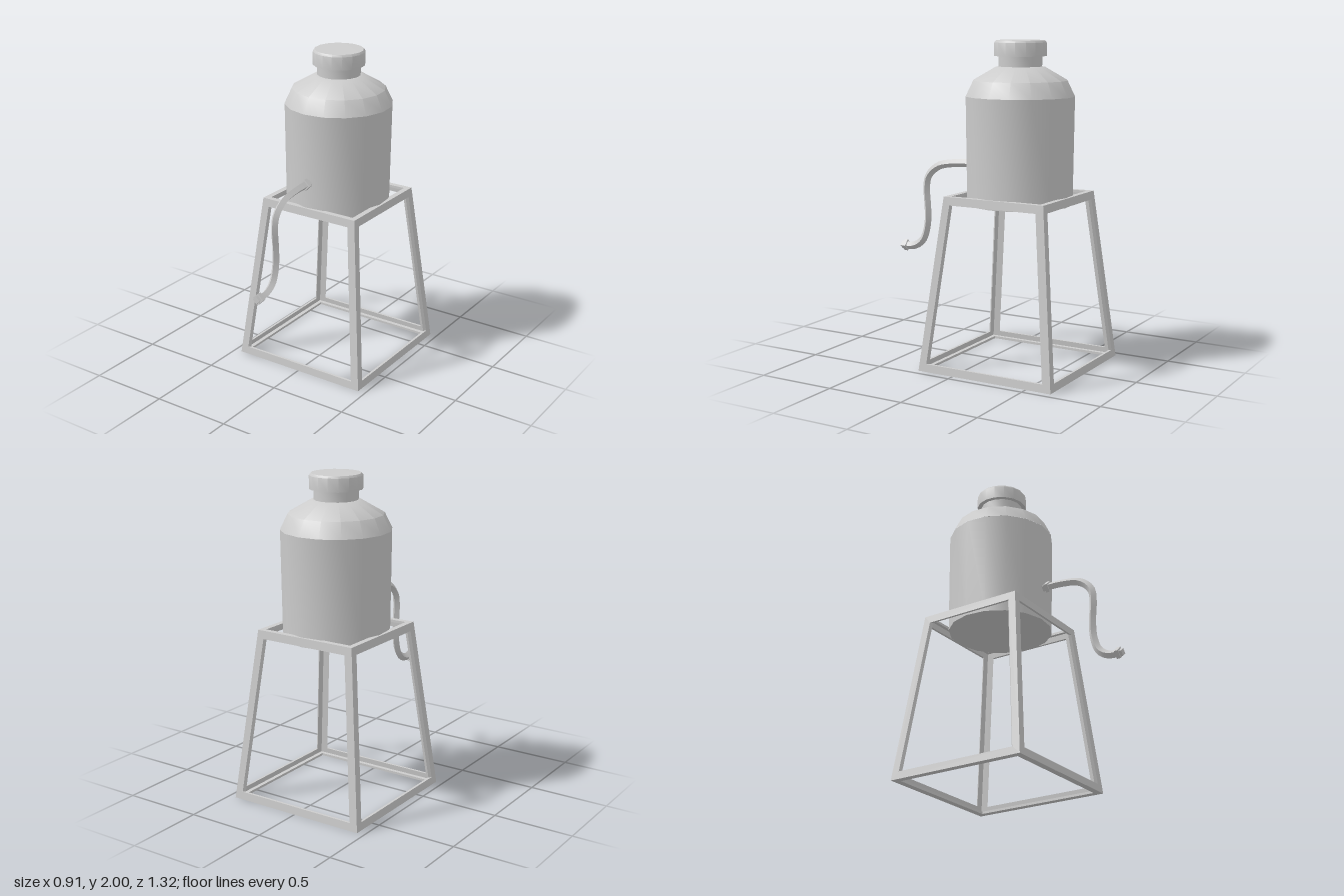
import * as THREE from 'three';
import { toCreasedNormals } from 'three/addons/utils/BufferGeometryUtils.js';

const grey = new THREE.MeshStandardMaterial({ color: 0xcccccc });
grey.name = 'plain grey';

const CENTER_Z = -0.21;      // axis of tank and stand
const BASE = 0.453, TOP = 0.337, HEIGHT = 1.07;
const BAR = 0.048, THICK = 0.015;
const halfAt = (y) => BASE + (TOP - BASE) * (y / HEIGHT);

function add(parent, name, geometry) {
  const mesh = new THREE.Mesh(geometry, grey);
  mesh.name = name;
  parent.add(mesh);
  return mesh;
}

// Sixteen-sided turned part
function turned(parent, name, profile) {
  const pts = profile.map(([r, y]) => new THREE.Vector2(r, y));
  const lathe = new THREE.LatheGeometry(pts, 16, THREE.MathUtils.degToRad(17.5));
  return add(parent, name, toCreasedNormals(lathe, 0.65));
}

function polygon(Type, pts) {
  return new Type(pts.map(([x, y]) => new THREE.Vector2(x, y)));
}

// One tapered side of the angle-iron stand, mitred at the corners
function sideFrame() {
  const outline = (y0, y1, inset) => {
    const a = halfAt(y0) - inset, b = halfAt(y1) - inset;
    return [[-a, y0], [a, y0], [b, y1], [-b, y1]];
  };
  const shape = polygon(THREE.Shape, outline(0, HEIGHT, 0));
  shape.holes.push(polygon(THREE.Path, outline(BAR, HEIGHT - BAR - 0.002, BAR)));
  const geo = new THREE.ExtrudeGeometry(shape, { depth: THICK, bevelEnabled: false });
  const p = geo.attributes.position;
  for (let i = 0; i < p.count; i++) {
    const h = halfAt(p.getY(i));
    const depth = THICK - p.getZ(i);
    p.setX(i, p.getX(i) * (h - depth) / h);
    p.setZ(i, h - depth);
  }
  geo.computeVertexNormals();
  return geo;
}

// Flat square ring forming the horizontal leg of the angle iron
function ring(half, width) {
  const square = (h) => [[-h, -h], [h, -h], [h, h], [-h, h]];
  const shape = polygon(THREE.Shape, square(half));
  shape.holes.push(polygon(THREE.Path, square(half - width)));
  return new THREE.ExtrudeGeometry(shape, { depth: THICK, bevelEnabled: false }).rotateX(-Math.PI / 2);
}

export function createModel() {
  const model = new THREE.Group();
  model.name = 'tankOnStand';

  // Stand
  const stand = new THREE.Group();
  stand.name = 'stand';
  stand.position.z = CENTER_Z;
  model.add(stand);
  const side = sideFrame();
  ['front', 'left', 'back', 'right'].forEach((n, i) => {
    add(stand, n + 'Frame', side).rotation.y = i * Math.PI / 2;
  });
  add(stand, 'baseFlange', ring(BASE - 0.002, 0.04));
  add(stand, 'topFlange', ring(TOP - 0.001, 0.034)).position.y = HEIGHT - THICK;

  // Tank
  const tank = new THREE.Group();
  tank.name = 'tank';
  tank.position.z = CENTER_Z;
  model.add(tank);
  turned(tank, 'tankBody', [[0, 1.01], [0.325, 1.01], [0.333, 1.665]]);
  turned(tank, 'tankShoulder', [[0.334, 1.665], [0.288, 1.76], [0.15, 1.84], [0.13, 1.843]]);
  turned(tank, 'neck', [[0.133, 1.835], [0.133, 1.91]]);
  turned(tank, 'cap', [[0, 1.905], [0.16, 1.905], [0.16, 1.985], [0.15, 1.998], [0, 2.0]]);

  // Outlet pipe with a diamond section
  const pipe = new THREE.Group();
  pipe.name = 'outletPipe';
  model.add(pipe);
  const path = new THREE.CatmullRomCurve3([
    [0.09, 1.233], [0.25, 1.228], [0.38, 1.2], [0.455, 1.13], [0.468, 1.05], [0.46, 0.92],
    [0.465, 0.81], [0.5, 0.715], [0.565, 0.672], [0.66, 0.667],
  ].map(([z, y]) => new THREE.Vector3(0, y, z)));
  const tube = new THREE.TubeGeometry(path, 32, 0.025, 4).toNonIndexed();
  add(pipe, 'pipe', toCreasedNormals(tube, 0.6));
  add(pipe, 'pipeEnd', new THREE.CircleGeometry(0.025, 4)).position.set(0, 0.667, 0.66);

  // Flanges near both pipe ends
  const collar = new THREE.CylinderGeometry(0.037, 0.037, 0.025, 4).rotateX(Math.PI / 2);
  const flange = toCreasedNormals(collar, 0.6);
  add(pipe, 'tankFlange', flange).position.set(0, 1.233, 0.147);
  add(pipe, 'endFlange', flange).position.set(0, 0.668, 0.63);

  return model;
}
